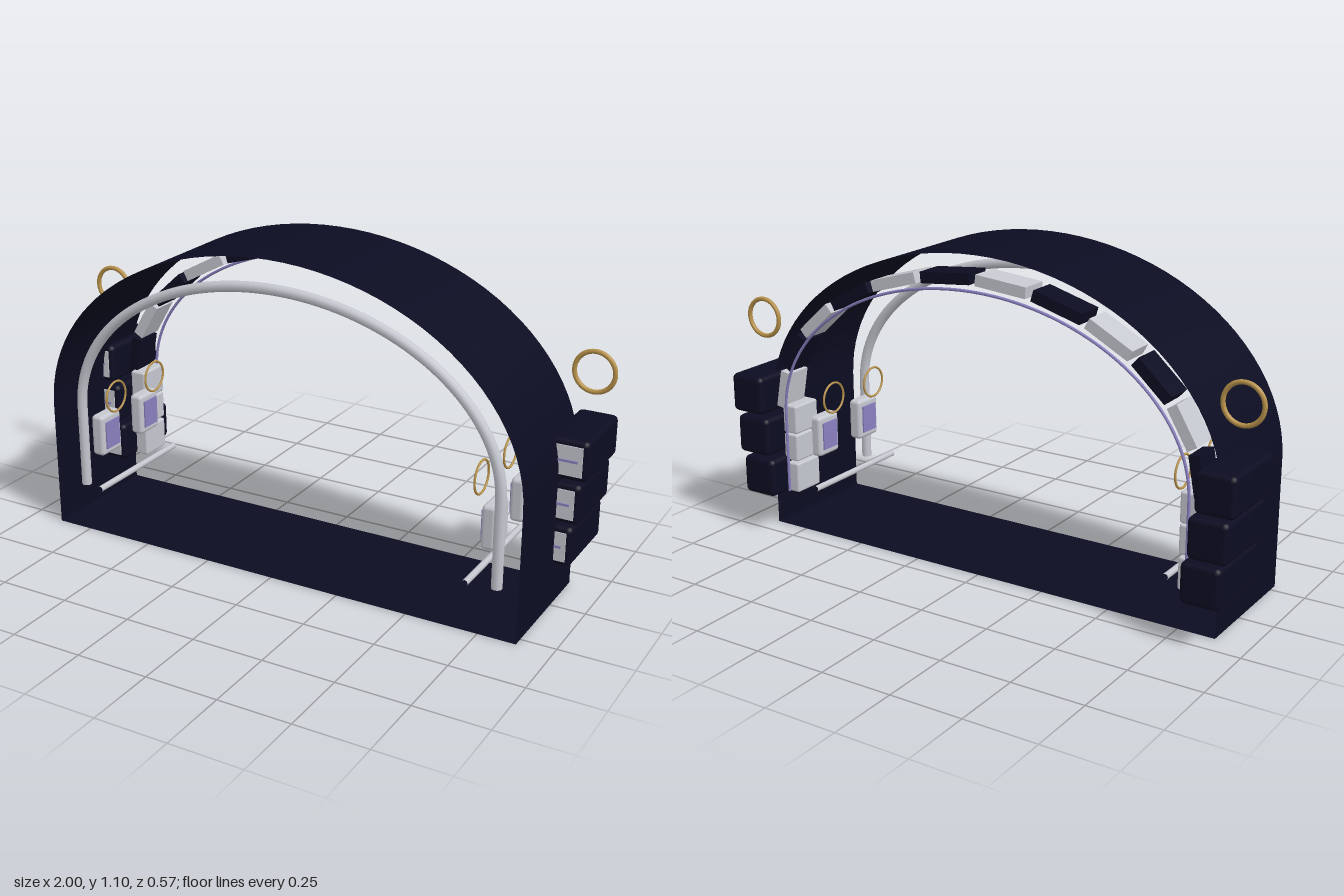
import * as THREE from 'three';
import { RoundedBoxGeometry } from 'three/addons/geometries/RoundedBoxGeometry.js';
import { ParametricGeometry } from 'three/addons/geometries/ParametricGeometry.js';

const SPRING = 0.45; // height where the straight walls turn into the arch

function mat(name, color, side = THREE.FrontSide) {
  const m = new THREE.MeshStandardMaterial({ color, side });
  m.name = name;
  return m;
}

// Points up one leg, over a half ellipse and down the other leg
function archPoints(a, b, base, steps = 48) {
  const pts = [];
  for (let i = 0; i < 6; i++) pts.push([a, base + (SPRING - base) * i / 6]);
  for (let i = 0; i <= steps; i++) {
    const t = Math.PI * i / steps;
    pts.push([a * Math.cos(t), SPRING + b * Math.sin(t)]);
  }
  for (let i = 5; i >= 0; i--) pts.push([-a, base + (SPRING - base) * i / 6]);
  return pts;
}

export function createModel() {
  const group = new THREE.Group();
  const navy = mat('navy', 0x0c0c22, THREE.DoubleSide);
  const silver = mat('silver', 0xc6c8d0);
  const violet = mat('violet', 0x8a80c0);
  const gold = mat('gold', 0xb8924a);

  function add(name, geometry, material, x = 0, y = 0, z = 0) {
    const mesh = new THREE.Mesh(geometry, material);
    mesh.name = name;
    mesh.position.set(x, y, z);
    group.add(mesh);
    return mesh;
  }

  // Tunnel shell: a thin vaulted sheet and a flat floor
  const zBack = -0.175, zFront = 0.285;
  const outline = archPoints(0.88, 0.65, 0);
  const last = outline.length - 1;
  add('vaultShell', new ParametricGeometry((u, v, target) => {
    const k = Math.min(Math.max(u, 0), 1) * last;
    const i = Math.min(Math.floor(k), last - 1), f = k - i;
    const [p, q] = [outline[i], outline[i + 1]];
    target.set(p[0] + (q[0] - p[0]) * f, p[1] + (q[1] - p[1]) * f,
      zFront + (zBack - zFront) * v);
  }, last, 1), navy);
  const floor = add('floor', new THREE.PlaneGeometry(1.76, zFront - zBack), navy, 0, 0, (zFront + zBack) / 2);
  floor.rotation.x = -Math.PI / 2;

  // Arched tubes: a thick rib at the front, a thin light line at the back
  function archTube(name, z, a, b, radius, material) {
    const pts = archPoints(a, b, 0.15).map(([x, y]) => new THREE.Vector3(x, y, z));
    add(name, new THREE.TubeGeometry(new THREE.CatmullRomCurve3(pts), 120, radius, 10), material);
  }
  archTube('frontRib', 0.24, 0.79, 0.54, 0.018, silver);
  archTube('backLightLine', -0.21, 0.79, 0.54, 0.005, violet);

  // Alternating arch blocks around the back opening
  const a = 0.815, b = 0.572, count = 12, step = Math.PI / count;
  for (let i = 0; i < count; i++) {
    const t = (i + 0.5) * step;
    const dx = -a * Math.sin(t), dy = b * Math.cos(t);
    const length = Math.hypot(dx, dy) * step * 0.89;
    const block = add('archBlock', new THREE.BoxGeometry(length, 0.038, 0.1),
      i % 2 ? navy : silver, a * Math.cos(t), SPRING + b * Math.sin(t), -0.15);
    block.rotation.z = Math.atan2(dy, dx);
  }

  for (const s of [1, -1]) {
    // Stacked outer pods with a front panel and a light strip
    for (let i = 0; i < 3; i++) {
      const x = s * (0.868 + 0.0185 * i), y = 0.212 + 0.15 * i;
      add('outerPod', new RoundedBoxGeometry(0.135, 0.138, 0.28, 2, 0.018), navy, x, y, -0.145);
      add('podPanel', new THREE.BoxGeometry(0.1, 0.1, 0.006), silver, x, y, -0.004);
      add('podStrip', new THREE.BoxGeometry(0.07, 0.008, 0.004), violet, x, y, 0);
    }

    // Pier blocks inside the back opening
    for (const [y, h] of [[0.2, 0.11], [0.313, 0.1], [0.418, 0.104]]) {
      add('pierBlock', new RoundedBoxGeometry(0.06, h, 0.12, 2, 0.008), silver, s * 0.785, y, -0.14);
    }

    // Wall consoles with a screen and a ring above
    for (const z of [0.17, -0.06]) {
      add('console', new RoundedBoxGeometry(0.05, 0.15, 0.11, 2, 0.014), silver, s * 0.745, 0.335, z);
      add('consoleScreen', new THREE.BoxGeometry(0.006, 0.1, 0.075), violet, s * 0.718, 0.335, z);
      const ring = add('consoleRing', new THREE.TorusGeometry(0.055, 0.004, 8, 32), gold, s * 0.695, 0.478, z);
      ring.rotation.y = Math.PI / 2;
    }

    // Low rail along the wall
    const rail = add('lowRail', new THREE.CylinderGeometry(0.011, 0.011, 0.455, 8, 1, true), silver, s * 0.7, 0.163, 0.055);
    rail.rotation.x = Math.PI / 2;

    // Large outer ring
    add('outerRing', new THREE.TorusGeometry(0.067, 0.008, 10, 40), gold, s * 0.925, 0.762, -0.149);
  }
  return group;
}
